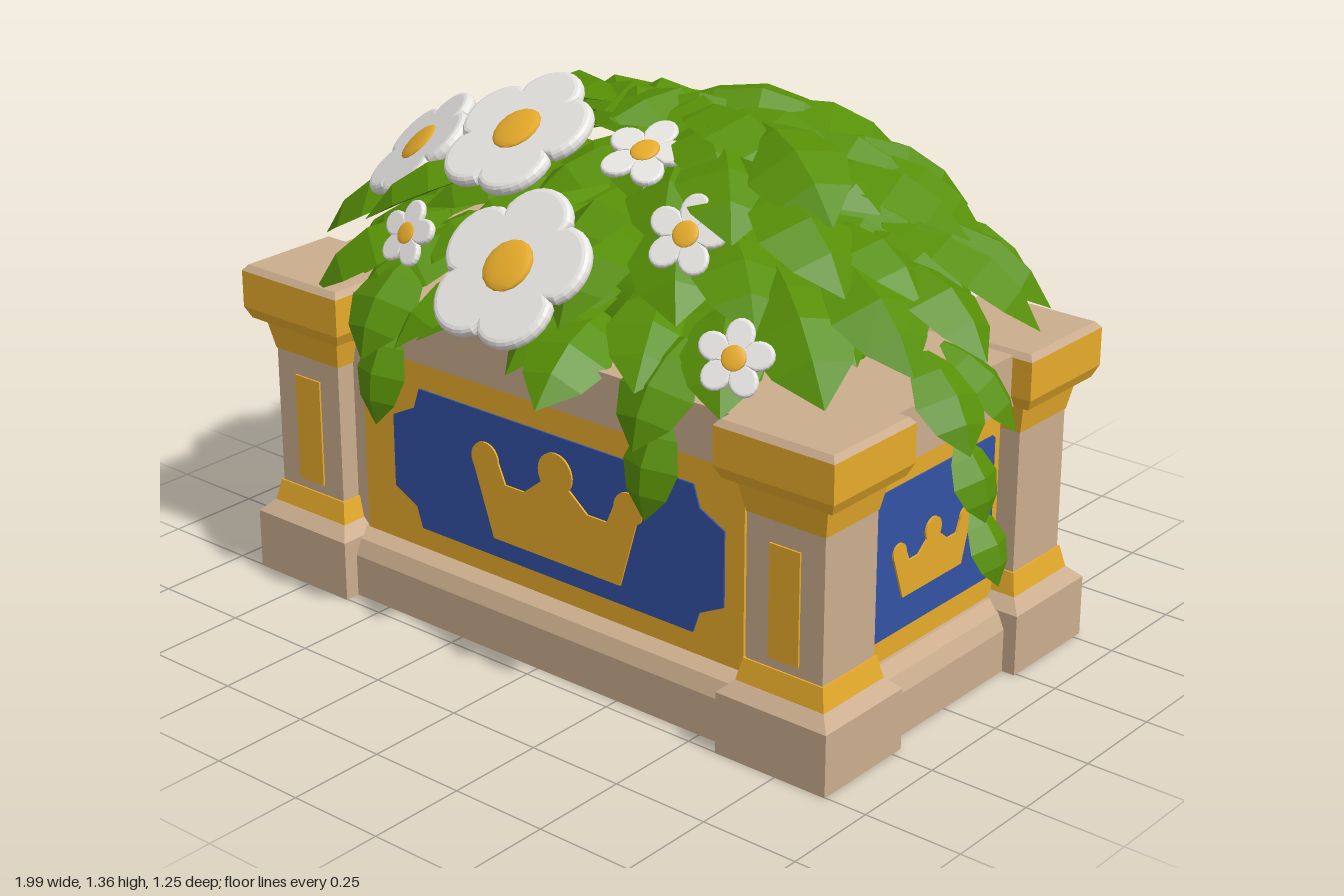
import * as THREE from 'three';

const mat = (name, color, side = THREE.FrontSide) => {
  const m = new THREE.MeshStandardMaterial({ color, side });
  m.name = name;
  return m;
};
const stone = mat('stone', 0xcbad8d);
const gold = mat('gold', 0xe8ac2b);
const blue = mat('blue', 0x3352a4);
const green = mat('leaf green', 0x578f07, THREE.DoubleSide);
const white = mat('petal white', 0xebe9e6);

let seed = 7;
const rand = () => ((seed = (seed * 16807) % 2147483647) / 2147483647) * 2 - 1;

function add(parent, name, geo, material, x = 0, y = 0, z = 0) {
  const mesh = new THREE.Mesh(geo, material);
  mesh.name = name;
  mesh.position.set(x, y, z);
  parent.add(mesh);
  return mesh;
}

// Box from y0 to y1, pulled in at its bottom or top
function tier(w, d, y0, y1, insetTop = 0, insetBottom = 0) {
  const g = new THREE.BoxGeometry(w, y1 - y0, d);
  const p = g.attributes.position;
  for (let i = 0; i < p.count; i++) {
    const inset = p.getY(i) > 0 ? insetTop : insetBottom;
    p.setX(i, p.getX(i) - Math.sign(p.getX(i)) * inset);
    p.setZ(i, p.getZ(i) - Math.sign(p.getZ(i)) * inset);
  }
  g.translate(0, (y0 + y1) / 2, 0);
  g.computeVertexNormals();
  return g;
}

const plate = (shape, depth = 0.006) => new THREE.ExtrudeGeometry(shape, { depth, bevelEnabled: false, curveSegments: 10 });

// Rectangle with stepped corners
function notched(w, h, n) {
  const a = w / 2, b = h / 2;
  return new THREE.Shape([
    [-a + n, -b], [a - n, -b], [a - n * 0.8, -b + n * 0.6], [a, -b + n], [a, b - n], [a - n * 0.8, b - n * 0.6], [a - n, b],
    [-a + n, b], [-a + n * 0.8, b - n * 0.6], [-a, b - n], [-a, -b + n], [-a + n * 0.8, -b + n * 0.6],
  ].map(([x, y]) => new THREE.Vector2(x, y)));
}

// Three-pointed crown with rounded tips, 0.54 wide and 0.28 tall
function crownShape() {
  const s = new THREE.Shape();
  s.moveTo(-0.2, 0).lineTo(0.2, 0).lineTo(0.25, 0.17);
  s.absarc(0.225, 0.2, 0.043, -0.6, Math.PI, false);
  s.lineTo(0.16, 0.15).lineTo(0.1, 0.15).lineTo(0.05, 0.19);
  s.absarc(0, 0.225, 0.053, -0.6, Math.PI + 0.6, false);
  s.lineTo(-0.1, 0.15).lineTo(-0.16, 0.15).lineTo(-0.182, 0.2);
  s.absarc(-0.225, 0.2, 0.043, 0, Math.PI + 0.6, false);
  return s;
}

// Thick pointed leaf along +z with a sharp midrib, one unit long
function leafGeometry() {
  const rows = [[0, 0.06, 0], [0.22, 0.24, 0.03], [0.5, 0.33, 0.05], [0.76, 0.24, 0.04], [1, 0.005, 0]];
  const pos = [], index = [];
  rows.forEach(([z, w, lift], r) => {
    pos.push(-w, lift, z, 0, lift + w * 0.42, z, w, lift, z, 0, lift - w * 0.12, z);
    if (r) for (let k = 0; k < 4; k++) {
      const a = (r - 1) * 4 + k, b = (r - 1) * 4 + ((k + 1) % 4);
      index.push(a, a + 4, b, b, a + 4, b + 4);
    }
  });
  const indexed = new THREE.BufferGeometry();
  indexed.setAttribute('position', new THREE.Float32BufferAttribute(pos, 3));
  indexed.setIndex(index);
  const g = indexed.toNonIndexed();
  g.computeVertexNormals();
  return g;
}

function buildPlanter() {
  const planter = new THREE.Group();
  planter.name = 'planter';
  add(planter, 'plinth', tier(1.74, 0.95, 0, 0.11), stone);
  add(planter, 'plinthSlope', tier(1.74, 0.95, 0.11, 0.15, 0.018), stone);
  add(planter, 'plinthTop', tier(1.704, 0.914, 0.15, 0.17, 0.035), stone);
  add(planter, 'body', tier(1.6, 0.83, 0.165, 0.69), stone);
  add(planter, 'rim', tier(1.74, 0.93, 0.68, 0.81, 0.008, 0.008), stone);

  // Corner pillars
  for (const sx of [-1, 1]) for (const sz of [-1, 1]) {
    const corner = new THREE.Group();
    corner.name = 'cornerPillar';
    corner.position.set(sx * 0.75, 0, sz * 0.372);
    add(corner, 'foot', tier(0.31, 0.285, 0, 0.155), stone);
    add(corner, 'footBevel', tier(0.31, 0.285, 0.155, 0.185, 0.03), stone);
    add(corner, 'lowerBand', tier(0.25, 0.225, 0.18, 0.24, 0.013), gold);
    add(corner, 'post', tier(0.215, 0.19, 0.23, 0.61), stone);
    add(corner, 'upperBand', tier(0.255, 0.23, 0.6, 0.69, 0, 0.018), gold);
    add(corner, 'capFlare', tier(0.33, 0.295, 0.68, 0.71, 0, 0.014), gold);
    add(corner, 'cap', tier(0.33, 0.295, 0.71, 0.805), gold);
    add(corner, 'capTop', tier(0.33, 0.295, 0.805, 0.82, 0.012), stone);
    if (sz > 0) add(corner, 'postInset', new THREE.BoxGeometry(0.085, 0.28, 0.008), gold, 0, 0.405, 0.096);
    planter.add(corner);
  }

  // Gold framed blue panels with crowns
  const panels = [
    [0, 0.415, 1.2, 1.04, 0.37, 0.09, 1, 0.275], [Math.PI, 0.415, 1.2, 1.04, 0.37, 0.09, 1, 0.275],
    [Math.PI / 2, 0.8, 0.54, 0.49, 0.365, 0.006, 0.58, 0.31], [-Math.PI / 2, 0.8, 0.54, 0.49, 0.365, 0.006, 0.58, 0.31],
  ];
  for (const [turn, depth, frameW, w, h, notch, crownScale, crownY] of panels) {
    const panel = new THREE.Group();
    panel.name = 'panel';
    panel.rotation.y = turn;
    add(panel, 'frame', new THREE.BoxGeometry(frameW, 0.53, 0.009), gold, 0, 0.42, depth + 0.003);
    add(panel, 'field', plate(notched(w, h, notch)), blue, turn ? 0 : 0.025, 0.41, depth + 0.006);
    add(panel, 'crown', plate(crownShape()), gold, turn ? 0 : 0.04, crownY, depth + 0.011).scale.set(crownScale, crownScale, 1);
    planter.add(panel);
  }
  planter.position.set(-0.015, 0, -0.012);
  return planter;
}

// Flowers: x, y, z, facing, radius, tinted ring
const flowers = [
  [-0.04, 1.01, 0.48, [0, 0.7, 0.71], 0.21], [-0.25, 1.225, 0.22, [-0.1, 0.84, 0.53], 0.2],
  [-0.63, 1.1, 0.16, [-0.42, 0.75, 0.5], 0.175], [0.02, 1.015, -0.48, [0, 0.7, -0.71], 0.205, true],
  [0.12, 1.25, 0.2, [0.1, 0.9, 0.42], 0.11], [0.35, 1.14, 0.33, [0.2, 0.6, 0.75], 0.1],
  [0.6, 0.955, 0.47, [0.35, 0.5, 0.8], 0.09], [-0.43, 0.99, 0.42, [-0.1, 0.5, 0.85], 0.085],
  [-0.65, 1.08, -0.23, [-0.4, 0.85, -0.3], 0.1],
];

function buildFlower(x, y, z, facing, radius, ring) {
  const flower = new THREE.Group();
  flower.name = 'flower';
  const big = radius > 0.15, bevel = big ? 0.016 : 0.007, pts = [];
  for (let i = 0; i < 60; i++) {
    const a = (i / 60) * Math.PI * 2, lobe = Math.abs(Math.cos(2.5 * a)) ** 0.6;
    const r = (radius - bevel) * (big ? 0.7 + 0.3 * lobe : 0.3 + 0.7 * lobe);
    pts.push(new THREE.Vector2(r * Math.sin(a), r * Math.cos(a)));
  }
  const geo = new THREE.ExtrudeGeometry(new THREE.Shape(pts), {
    depth: 0.004, bevelSize: bevel, bevelThickness: bevel, bevelSegments: 3,
  });
  add(flower, 'petals', geo, white);
  const top = 0.004 + bevel, heart = radius * 0.32;
  if (ring) add(flower, 'ring', new THREE.CylinderGeometry(radius * 0.66, radius * 0.66, 0.006, 20).rotateX(Math.PI / 2), stone, 0, 0, top);
  add(flower, 'heart', new THREE.SphereGeometry(heart, 14, 8).scale(1, 1, 0.2), gold, 0, 0, top);
  const n = new THREE.Vector3(...facing).normalize();
  flower.quaternion.setFromUnitVectors(new THREE.Vector3(0, 0, 1), n);
  flower.position.set(x, y, z);
  return flower;
}

function buildFoliage() {
  const foliage = new THREE.Group();
  foliage.name = 'foliage';
  const geo = leafGeometry();
  // Place a leaf by its tip, heading and downward pitch
  const leaf = (name, tip, yaw, pitch, length, width = length, roll = 0) => {
    const m = add(foliage, name, geo, green);
    m.rotation.set(pitch, yaw, roll, 'YXZ');
    m.scale.set(width, length, length);
    m.position.copy(tip).sub(new THREE.Vector3(0, 0, length).applyEuler(m.rotation));
  };
  // Inner mass behind the leaves
  add(foliage, 'innerMass', new THREE.SphereGeometry(1, 24, 8, 0, Math.PI * 2, 0, Math.PI / 2).scale(0.6, 0.3, 0.28), green, 0, 0.8, 0);

  // Overlapping rings of leaves over the mound, with a lower layer filling the edge: reach, count, drop
  const rings = [[0.3, 7, 0], [0.48, 12, 0], [0.66, 16, 0], [0.83, 20, 0], [1, 23, 0], [0.72, 14, 0.14], [0.88, 18, 0.1]];
  for (const [t, count, drop] of rings) {
    for (let i = 0; i < count; i++) {
      const a = ((i + 0.5 * (count % 8 ? 1 : 0)) / count) * Math.PI * 2 + rand() * 0.07;
      const k = t * (1 + rand() * 0.03), c = Math.cos(a), s = Math.sin(a);
      const x = 0.98 * k * Math.sign(c) * Math.abs(c) ** 0.84, z = 0.6 * k * Math.sign(s) * Math.abs(s) ** 0.84;
      let y = 1.27 - 0.4 * k ** 2.7 + 0.05 * x - 0.05 * z - drop + rand() * 0.02;
      const yaw = Math.atan2(x, z * 1.4) + rand() * 0.12, length = 0.36 + rand() * 0.04;
      // Sink leaves that lie under a flower
      for (const [fx, , fz, , r] of flowers) {
        const mid = Math.hypot(x - Math.sin(yaw) * 0.15 - fx, z - Math.cos(yaw) * 0.15 - fz);
        if (Math.min(mid, Math.hypot(x - fx, z - fz)) < r * 0.95) { y -= r > 0.15 ? 0.1 : 0.05; break; }
      }
      leaf('leaf', new THREE.Vector3(x, y, z), yaw, -0.1 + 0.58 * t + rand() * 0.08, length, length * 0.95, rand() * 0.22);
    }
  }

  // Leaves hanging over the long sides
  for (const sx of [-1, 1]) for (const sz of [-1, 1]) {
    const yaw = sz > 0 ? 0 : Math.PI;
    leaf('hangingLeaf', new THREE.Vector3(sx * 0.42, 0.55, sz * 0.56), yaw, 1.3, 0.25, 0.24);
    leaf('drapedLeaf', new THREE.Vector3(sx * 0.42, 0.73, sz * 0.6), yaw, 0.85, 0.28, 0.32);
  }
  // Trailing leaves at both ends
  for (const sx of [-1, 1]) {
    const yaw = sx * Math.PI / 2;
    leaf('trailingLeaf', new THREE.Vector3(sx * 0.99, 0.36, 0), yaw, 1.15, 0.19, 0.21);
    leaf('trailingLeaf', new THREE.Vector3(sx * 0.955, 0.51, 0.01), yaw, 1.15, 0.2, 0.25);
    for (const sz of [-1, 1]) leaf('drapedLeaf', new THREE.Vector3(sx * 0.96, 0.7, sz * 0.09), yaw - sx * sz * 0.3, 0.8, 0.26, 0.28);
  }
  for (const f of flowers) foliage.add(buildFlower(...f));
  return foliage;
}

export function createModel() {
  const model = new THREE.Group();
  model.name = 'flowerPlanter';
  model.add(buildPlanter(), buildFoliage());
  return model;
}
